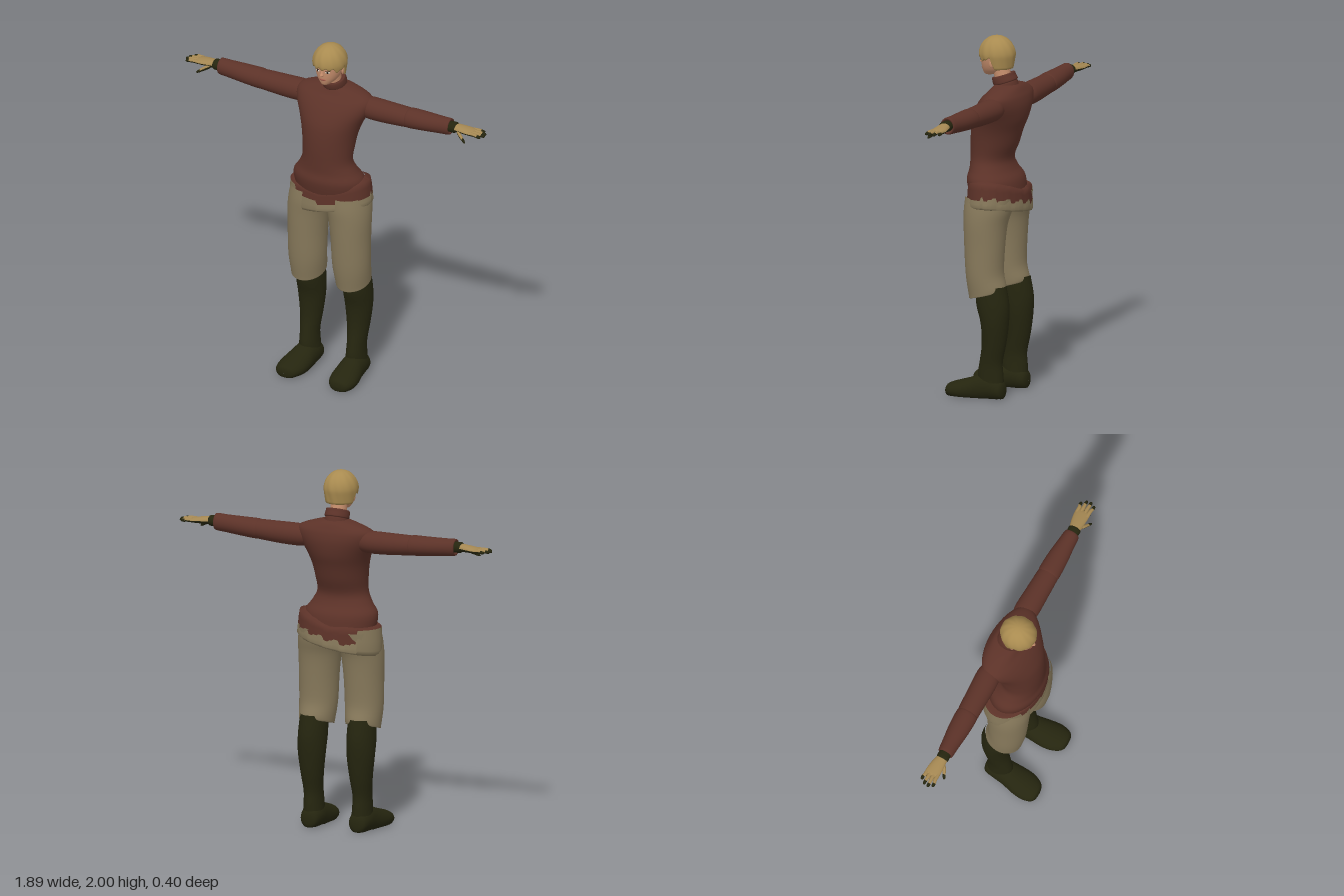
import * as THREE from 'three';

const mat = (name, color) => Object.assign(new THREE.MeshStandardMaterial({ color }), { name });
const TAU = Math.PI * 2, clamp = THREE.MathUtils.clamp, lerp = THREE.MathUtils.lerp;

// Grid surface: fn(t, angle) -> [x, y, z]; wraps round when the angle range is a full turn.
function grid(fn, rows, cols, a0 = 0, a1 = TAU) {
  const closed = a1 - a0 > TAU - 0.001, w = closed ? cols : cols + 1;
  const pos = [], idx = [];
  for (let i = 0; i <= rows; i++)
    for (let j = 0; j < w; j++) pos.push(...fn(i / rows, a0 + (a1 - a0) * j / cols));
  for (let i = 0; i < rows; i++)
    for (let j = 0; j < cols; j++) {
      const k = (j + 1) % w, a = i * w + j, b = i * w + k;
      idx.push(a, b, b + w, a, b + w, a + w);
    }
  const g = new THREE.BufferGeometry();
  g.setAttribute('position', new THREE.Float32BufferAttribute(pos, 3));
  g.setIndex(idx);
  g.computeVertexNormals();
  return g;
}

// Smooth loft through elliptical sections [t, centreS, centreC, radiusS, radiusC] along an axis.
// (S, C) are (x, z) for axis y, (z, y) for axis x and (y, x) for axis z.
function loft(axis, secs, { cols = 32, sub = 4, a0 = 0, a1 = TAU, mod = p => p } = {}) {
  const n = secs.length - 1;
  const cr = (k, u) => {
    const i = Math.min(Math.floor(u), n - 1), f = u - i;
    const [p0, p1, p2, p3] = [i - 1, i, i + 1, i + 2].map(q => secs[clamp(q, 0, n)][k]);
    const v = 0.5 * (2 * p1 + (p2 - p0) * f + (2 * p0 - 5 * p1 + 4 * p2 - p3) * f * f
      + (3 * p1 - p0 - 3 * p2 + p3) * f ** 3);
    return k > 2 ? Math.max(v, 0.0005) : v;
  };
  return grid((t, a) => {
    const [h, cs, cc, rs, rc] = [0, 1, 2, 3, 4].map(k => cr(k, t * n));
    const s = cs + rs * Math.sin(a), c = cc + rc * Math.cos(a);
    return mod(axis === 'y' ? [s, h, c] : axis === 'x' ? [h, c, s] : [c, s, h]);
  }, n * sub, cols, a0, a1);
}

// Mirror across x, turning the triangles so they still face outward.
function mirrored(geo) {
  const g = geo.clone().scale(-1, 1, 1), ix = g.index.array;
  for (let i = 0; i < ix.length; i += 3) [ix[i], ix[i + 1]] = [ix[i + 1], ix[i]];
  g.computeVertexNormals();
  return g;
}

export function createModel() {
  const root = new THREE.Group();
  root.name = 'figure';
  const sweater = mat('sweater brown', 0x5c3228), cloth = mat('trouser tan', 0x87795b);
  const leather = mat('boot dark olive', 0x25250f), hairM = mat('hair blond', 0xa98b50);
  const skin = mat('skin', 0xc58d6c), glove = mat('glove tan', 0xa48752);
  const lip = mat('lip', 0xa45c4c), white = mat('eye white', 0xd8d0c4), iris = mat('eye dark', 0x2c2018);
  const add = (name, geo, m) => {
    const mesh = new THREE.Mesh(geo, m);
    mesh.name = name;
    root.add(mesh);
  };
  const both = (name, geo, m) => {
    add(name + 'Left', geo, m);
    add(name + 'Right', mirrored(geo), m);
  };

  // Sweater body
  add('sweaterBody', loft('y', [
    [1.10, 0, -0.03, 0.20, 0.14], [1.20, 0, -0.012, 0.212, 0.145], [1.26, 0, 0.002, 0.175, 0.122],
    [1.32, 0, 0.01, 0.146, 0.114], [1.40, 0, -0.005, 0.149, 0.13], [1.48, 0, -0.02, 0.162, 0.14],
    [1.55, 0, -0.04, 0.186, 0.146], [1.62, 0, -0.062, 0.222, 0.134], [1.67, 0, -0.077, 0.232, 0.112],
    [1.70, 0, -0.085, 0.2, 0.09], [1.727, 0, -0.085, 0.12, 0.072], [1.74, 0, -0.08, 0.06, 0.055],
  ], { cols: 48 }), sweater);

  // Folded collar, higher at the back
  add('collar', loft('y', [
    [1.70, 0, -0.078, 0.07, 0.066], [1.73, 0, -0.073, 0.066, 0.062], [1.738, 0, -0.072, 0.063, 0.06],
    [1.744, 0, -0.07, 0.068, 0.066], [1.77, 0, -0.06, 0.067, 0.064], [1.787, 0, -0.056, 0.062, 0.06],
    [1.782, 0, -0.054, 0.045, 0.045],
  ], { mod: ([x, y, z]) => [x, y - (z + 0.06) * 0.35, z] }), sweater);

  // Slanting hip wrap: brown hem above, tan band below with a stepped edge between
  const top = x => 1.147 + Math.max(0, x) * 0.27;
  const bottom = x => 1.03 + 0.17 * x;
  const edge = (x, a) => {
    if (x < -0.165) return top(x) - 0.008;
    if (x < -0.01 && Math.cos(a) > 0) return 1.095;
    return 1.072 + 0.2 * x + (Math.cos(a) < 0 ? (Math.floor(a * 7) % 3) * 0.011 : 0);
  };
  const ring = (a, r, y) => {
    const x = 0.246 * Math.sin(a);
    return [x * r, y(x), -0.033 + 0.16 * r * Math.cos(a)];
  };
  add('hipBand', grid((t, a) => {
    const r = [0.84, 0.98, 1.005, 1, 0.985][Math.round(t * 4)];
    return ring(a, r, x => lerp(bottom(x), edge(x, a), [0.06, 0, 0.18, 0.55, 1][Math.round(t * 4)]));
  }, 4, 128), cloth);
  add('sweaterHem', grid((t, a) => {
    const r = [0.985, 0.965, 0.94, 0.8][Math.round(t * 3)];
    return ring(a, r, x => lerp(edge(x, a), top(x), [0, 0.6, 1, 1.08][Math.round(t * 3)]));
  }, 3, 128), sweater);

  // Knee breeches with hems rising toward the back
  both('breechesLeg', loft('y', [
    [0.60, 0.143, -0.03, 0.07, 0.08], [0.578, 0.141, -0.03, 0.092, 0.1], [0.60, 0.14, -0.03, 0.098, 0.105],
    [0.70, 0.138, -0.012, 0.107, 0.105], [0.85, 0.135, -0.01, 0.111, 0.113], [0.97, 0.129, -0.013, 0.119, 0.122],
    [1.05, 0.117, -0.022, 0.126, 0.135], [1.12, 0.11, -0.03, 0.12, 0.138],
  ], { mod: ([x, y, z]) => [x, y - (z + 0.03) * 0.27 * clamp((0.72 - y) / 0.12, 0, 1), z] }), cloth);

  // Tall boots: shaft and flat-soled foot
  both('bootShaft', loft('y', [
    [0.06, 0.146, -0.055, 0.058, 0.074], [0.13, 0.147, -0.052, 0.053, 0.074], [0.20, 0.148, -0.056, 0.052, 0.066],
    [0.30, 0.148, -0.073, 0.063, 0.068], [0.42, 0.148, -0.078, 0.077, 0.078], [0.52, 0.147, -0.066, 0.08, 0.093],
    [0.63, 0.145, -0.052, 0.075, 0.088],
  ]), leather);
  both('bootFoot', loft('z', [
    [-0.137, 0.04, 0.146, 0.001, 0.001], [-0.133, 0.042, 0.146, 0.034, 0.03], [-0.115, 0.048, 0.146, 0.055, 0.052],
    [-0.06, 0.058, 0.147, 0.072, 0.064], [0.0, 0.052, 0.15, 0.076, 0.069], [0.06, 0.04, 0.156, 0.066, 0.078],
    [0.12, 0.033, 0.162, 0.054, 0.08], [0.17, 0.029, 0.167, 0.042, 0.066], [0.194, 0.027, 0.169, 0.03, 0.042],
    [0.201, 0.027, 0.17, 0.001, 0.001],
  ], { mod: ([x, y, z]) => [x, Math.max(0, y), z] }), leather);

  // Sleeves in two pieces with a seam at the elbow
  both('upperSleeve', loft('x', [
    [0.15, -0.092, 1.63, 0.05, 0.05], [0.20, -0.092, 1.631, 0.064, 0.06], [0.25, -0.09, 1.631, 0.067, 0.062],
    [0.34, -0.088, 1.632, 0.064, 0.06], [0.465, -0.085, 1.636, 0.059, 0.054], [0.472, -0.085, 1.636, 0.05, 0.046],
  ]), sweater);
  both('lowerSleeve', loft('x', [
    [0.458, -0.085, 1.637, 0.05, 0.046], [0.468, -0.085, 1.637, 0.061, 0.056], [0.56, -0.084, 1.641, 0.059, 0.053],
    [0.66, -0.082, 1.646, 0.049, 0.049], [0.725, -0.08, 1.65, 0.042, 0.046], [0.718, -0.08, 1.65, 0.028, 0.028],
  ]), sweater);
  both('gloveCuff', loft('x', [
    [0.70, -0.08, 1.652, 0.03, 0.028], [0.73, -0.08, 1.652, 0.034, 0.03], [0.758, -0.08, 1.653, 0.035, 0.029],
    [0.766, -0.08, 1.653, 0.026, 0.02],
  ]), leather);

  // Gloves: tan backs, dark palms and fingertips
  const halves = (name, secs) => {
    both(name + 'Back', loft('x', secs, { cols: 12, a0: -Math.PI / 2, a1: Math.PI / 2 }), glove);
    both(name + 'Palm', loft('x', secs, { cols: 12, a0: Math.PI / 2, a1: Math.PI * 1.5 }), leather);
  };
  halves('hand', [
    [0.75, -0.08, 1.653, 0.03, 0.023], [0.79, -0.084, 1.652, 0.037, 0.02], [0.84, -0.087, 1.649, 0.042, 0.016],
    [0.87, -0.087, 1.648, 0.039, 0.011], [0.88, -0.087, 1.648, 0.03, 0.001],
  ]);
  [[-0.119, 0.918], [-0.098, 0.938], [-0.076, 0.943], [-0.055, 0.93]].forEach(([z, end], i) => {
    const zt = z + (z + 0.087) * 0.15, mid = end - 0.022;
    halves('finger' + (i + 1), [[0.85, z, 1.649, 0.0105, 0.01], [0.885, z, 1.65, 0.0105, 0.01], [mid, zt, 1.648, 0.009, 0.009]]);
    both('fingertip' + (i + 1), loft('x', [[mid - 0.001, zt, 1.648, 0.0092, 0.0092],
      [end - 0.006, zt, 1.646, 0.008, 0.0075], [end, zt, 1.645, 0.001, 0.001]], { cols: 12 }), leather);
  });
  halves('thumb', [[0.775, -0.065, 1.645, 0.012, 0.012], [0.80, -0.047, 1.633, 0.012, 0.014], [0.828, -0.032, 1.617, 0.009, 0.011]]);
  both('thumbTip', loft('x', [[0.827, -0.032, 1.617, 0.0092, 0.0112], [0.84, -0.026, 1.609, 0.008, 0.008],
    [0.849, -0.022, 1.604, 0.001, 0.001]], { cols: 12 }), leather);

  // Neck and head
  add('neck', loft('y', [[1.70, 0, -0.07, 0.045, 0.045], [1.85, 0, -0.035, 0.046, 0.05]]), skin);
  add('face', loft('y', [
    [1.776, 0, 0.038, 0.002, 0.002], [1.781, 0, 0.028, 0.022, 0.028], [1.80, 0, 0.006, 0.046, 0.058],
    [1.825, 0, -0.004, 0.063, 0.073], [1.86, 0, -0.011, 0.075, 0.082], [1.90, 0, -0.015, 0.079, 0.086],
    [1.95, 0, -0.02, 0.07, 0.078], [1.985, 0, -0.02, 0.03, 0.03],
  ]), skin);
  add('nose', loft('y', [[1.838, 0, 0.07, 0.004, 0.004], [1.845, 0, 0.072, 0.012, 0.014],
    [1.86, 0, 0.068, 0.008, 0.011], [1.885, 0, 0.064, 0.005, 0.006]], { cols: 14 }), skin);
  const blob = (x, y, z, rx, ry, rz, turn = 0) =>
    new THREE.SphereGeometry(1, 16, 10).scale(rx, ry, rz).rotateY(turn).translate(x, y, z);
  add('lips', blob(0, 1.817, 0.066, 0.021, 0.006, 0.005), lip);
  both('eye', blob(0.031, 1.866, 0.0635, 0.014, 0.0065, 0.003, 0.4), white);
  both('irisDot', blob(0.031, 1.866, 0.0655, 0.006, 0.006, 0.003, 0.4), iris);
  both('eyelash', blob(0.031, 1.873, 0.064, 0.016, 0.002, 0.004, 0.4), iris);
  both('ear', blob(0.077, 1.855, -0.022, 0.008, 0.024, 0.014, 0.3), skin);

  // Short hair: ragged fringe, clear of the ears, close at the nape
  add('hair', grid((t, a) => {
    const c = Math.cos(a), lock = Math.abs(((a * 2.4 + 0.3) % 1) - 0.5);
    const side = Math.exp(-(((Math.abs(Math.sin(a)) - 0.86) / 0.09) ** 2));
    const low = c > 0 ? 1.878 + 0.03 * lock - 0.022 * side : 1.88 - 0.057 * clamp(-c * 4, 0, 1);
    const y = t < 0.03 ? low + 0.006 : lerp(low, 2.0, Math.sin(clamp((t - 0.04) / 0.96, 0, 1) * Math.PI / 2));
    const dy = y - 1.895;
    let r = dy > 0 ? Math.sqrt(Math.max(0, 1 - (dy / 0.105) ** 2)) : 1 + dy * 1.7;
    r *= 1 + 0.012 * Math.sin(a * 11 + y * 30);
    if (t < 0.03) r *= 0.82;
    return [0.095 * r * Math.sin(a), y, -0.018 + 0.103 * r * c];
  }, 25, 96), hairM);

  return root;
}
